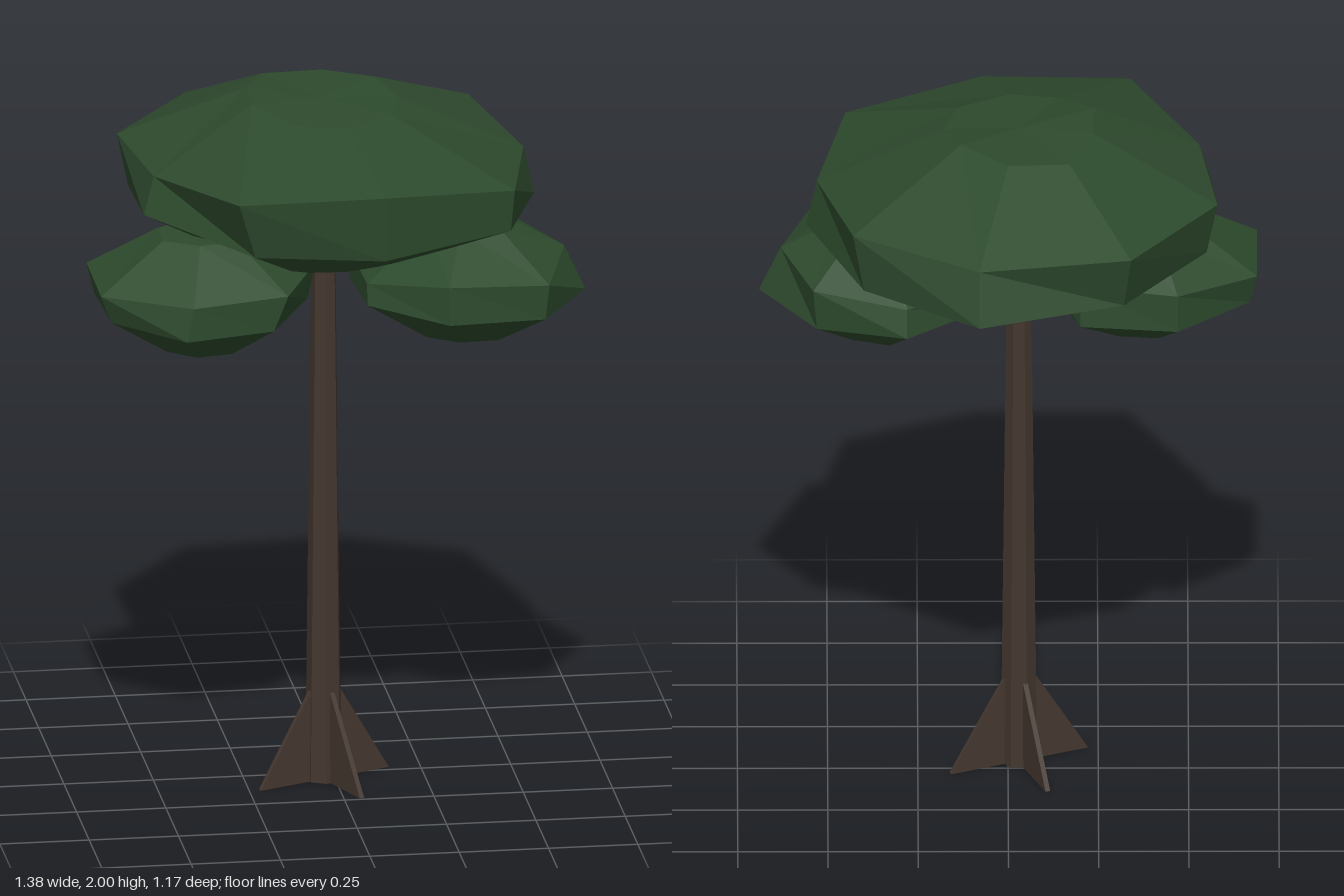
import * as THREE from 'three';

const foliage = new THREE.MeshStandardMaterial({ color: 0x2d4a2d });
foliage.name = 'dark green foliage';
const bark = new THREE.MeshStandardMaterial({ color: 0x44372f });
bark.name = 'brown bark';

// Faceted geometry lofted through rings (bottom to top, running from +x towards +z), capped at both ends
function loft(rings) {
  const pos = [];
  const tri = (a, b, c) => pos.push(...a, ...b, ...c);
  const n = rings[0].length;
  const centre = (ring) => [0, 1, 2].map((k) => ring.reduce((s, p) => s + p[k], 0) / n);
  const bottom = rings[0], top = rings[rings.length - 1];
  const cb = centre(bottom), ct = centre(top);
  for (let i = 0; i < n; i++) {
    const j = (i + 1) % n;
    for (let r = 0; r < rings.length - 1; r++) {
      const lo = rings[r], hi = rings[r + 1];
      tri(lo[i], hi[i], hi[j]);
      tri(lo[i], hi[j], lo[j]);
    }
    tri(cb, bottom[i], bottom[j]);
    tri(ct, top[j], top[i]);
  }
  const g = new THREE.BufferGeometry();
  g.setAttribute('position', new THREE.Float32BufferAttribute(pos, 3));
  g.computeVertexNormals();
  return g;
}

// Ring shrunk towards a centre and set to a given height
const shrink = (ring, [cx, cz], f, y) =>
  ring.map(([x, , z]) => [cx + (x - cx) * f, y, cz + (z - cz) * f]);

function addMesh(group, name, geometry, material) {
  const m = new THREE.Mesh(geometry, material);
  m.name = name;
  group.add(m);
  return m;
}

export function createModel() {
  const tree = new THREE.Group();
  tree.name = 'tree';

  // Trunk and its four buttress roots
  const trunk = new THREE.Group();
  trunk.name = 'trunkAndRoots';
  trunk.position.set(-0.03, 0, 0.05);
  tree.add(trunk);
  const stem = new THREE.CylinderGeometry(0.034, 0.052, 1.56, 7).toNonIndexed();
  stem.computeVertexNormals();
  stem.translate(0, 0.78, 0);
  addMesh(trunk, 'trunk', stem, bark);

  const fin = new THREE.Shape([
    new THREE.Vector2(0.01, 0), new THREE.Vector2(0.206, 0),
    new THREE.Vector2(0.046, 0.262), new THREE.Vector2(0.01, 0.262),
  ]);
  const finGeo = new THREE.ExtrudeGeometry(fin, { depth: 0.014, bevelEnabled: false });
  finGeo.translate(0, 0, -0.007);
  for (let i = 0; i < 4; i++) {
    addMesh(trunk, 'buttressRoot', finGeo, bark).rotation.y = 0.4 + i * Math.PI / 2;
  }

  // Large nine-sided crown
  const crownLow = [
    [0.56, 1.68, 0.04], [0.44, 1.7, 0.43], [0.07, 1.67, 0.56], [-0.29, 1.69, 0.54], [-0.56, 1.73, 0.24],
    [-0.55, 1.69, -0.15], [-0.32, 1.68, -0.45], [0.08, 1.68, -0.59], [0.4, 1.68, -0.36],
  ];
  const crownHigh = [
    [0.53, 1.815, 0.04], [0.45, 1.82, 0.44], [0.07, 1.86, 0.58], [-0.34, 1.855, 0.575], [-0.53, 1.835, 0.22],
    [-0.58, 1.84, -0.155], [-0.34, 1.84, -0.49], [0.08, 1.83, -0.54], [0.43, 1.845, -0.35],
  ];
  const crownTop = [
    [0.18, 1.975, 0.04], [0.14, 1.97, 0.18], [0, 1.965, 0.27], [-0.14, 1.97, 0.24], [-0.24, 2, 0.12],
    [-0.235, 2, -0.03], [-0.17, 1.985, -0.19], [0, 1.985, -0.2], [0.13, 1.995, -0.09],
  ];
  addMesh(tree, 'crown',
    loft([shrink(crownLow, [-0.03, 0.03], 0.38, 1.535), crownLow, crownHigh, crownTop]), foliage);

  // Two smaller seven-sided side clusters
  const clusters = [
    { name: 'leftFoliage', c: [0.36, 0.13],
      low: [[0.69, 1.425, 0.14], [0.54, 1.43, 0.41], [0.27, 1.43, 0.43], [0.06, 1.45, 0.28],
        [0.05, 1.44, 0], [0.28, 1.44, -0.19], [0.53, 1.43, -0.11]],
      high: [[0.63, 1.555, 0.14], [0.55, 1.53, 0.415], [0.27, 1.54, 0.43], [0.06, 1.51, 0.27],
        [0.05, 1.52, -0.01], [0.28, 1.52, -0.17], [0.54, 1.55, -0.115]] },
    { name: 'rightFoliage', c: [-0.38, 0.16],
      low: [[-0.09, 1.44, 0.16], [-0.22, 1.43, 0.41], [-0.47, 1.425, 0.46], [-0.66, 1.44, 0.3],
        [-0.67, 1.44, 0.03], [-0.47, 1.43, -0.13], [-0.2, 1.43, -0.1]],
      high: [[-0.07, 1.54, 0.16], [-0.18, 1.53, 0.41], [-0.45, 1.52, 0.455], [-0.69, 1.52, 0.31],
        [-0.69, 1.525, 0.02], [-0.47, 1.54, -0.13], [-0.2, 1.55, -0.09]] },
  ];
  for (const { name, c, low, high } of clusters) {
    addMesh(tree, name,
      loft([shrink(low, c, 0.4, 1.32), low, high, shrink(high, c, 0.4, 1.645)]), foliage);
  }
  return tree;
}
